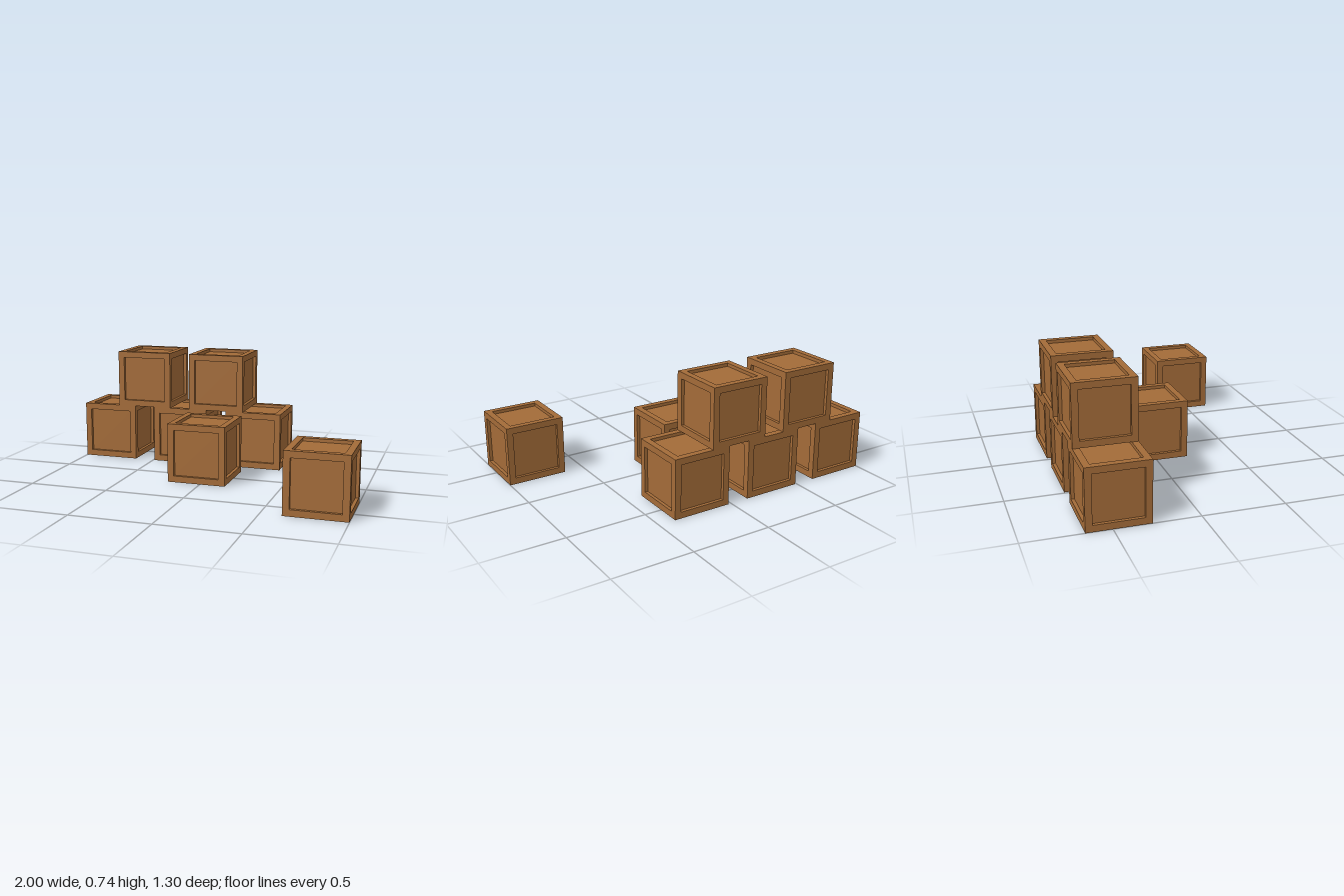
import * as THREE from 'three';
import { mergeGeometries } from 'three/addons/utils/BufferGeometryUtils.js';

const SIZE = 0.372, RIM = 0.04, DEPTH = 0.02;
const HALF = SIZE / 2, INNER = HALF - RIM;

function square(half, target) {
  return target.moveTo(-half, -half).lineTo(half, -half).lineTo(half, half).lineTo(-half, half).closePath();
}

// One crate side facing +z: flat rim, recess walls and sunken panel
function sideGeometry() {
  const shape = square(HALF, new THREE.Shape());
  shape.holes.push(square(INNER, new THREE.Path()));
  const parts = [
    new THREE.ShapeGeometry(shape).translate(0, 0, HALF),
    new THREE.PlaneGeometry(2 * INNER, 2 * INNER).translate(0, 0, HALF - DEPTH),
  ];
  for (let i = 0; i < 4; i++) {
    parts.push(new THREE.PlaneGeometry(2 * INNER, DEPTH)
      .rotateX(-Math.PI / 2)
      .translate(0, -INNER, 0)
      .rotateZ(i * Math.PI / 2)
      .translate(0, 0, HALF - DEPTH / 2));
  }
  return mergeGeometries(parts);
}

// Six identical sides make a closed crate
function crateGeometry() {
  const side = sideGeometry();
  const sides = [];
  for (let i = 0; i < 4; i++) sides.push(side.clone().rotateY(i * Math.PI / 2));
  sides.push(side.clone().rotateX(Math.PI / 2), side.clone().rotateX(-Math.PI / 2));
  return mergeGeometries(sides);
}

export function createModel() {
  const group = new THREE.Group();
  group.name = 'crateStack';
  const geometry = crateGeometry();
  const wood = new THREE.MeshStandardMaterial({ color: 0xa36b38 });

  const addCrate = (name, x, level, z) => {
    const crate = new THREE.Mesh(geometry, wood);
    crate.name = name;
    crate.position.set(x, HALF + level * SIZE, z);
    group.add(crate);
  };

  // Back row of three with two stacked across the gaps
  for (let i = 0; i < 3; i++) addCrate(`lowerCrate${i + 1}`, -0.814 + i * 0.51, 0, -0.465);
  for (let i = 0; i < 2; i++) addCrate(`upperCrate${i + 1}`, -0.558 + i * 0.508, 1, -0.465);

  // Loose crates in front
  addCrate('middleCrate', -0.025, 0, 0.015);
  addCrate('frontCrate', 0.814, 0, 0.465);
  return group;
}
